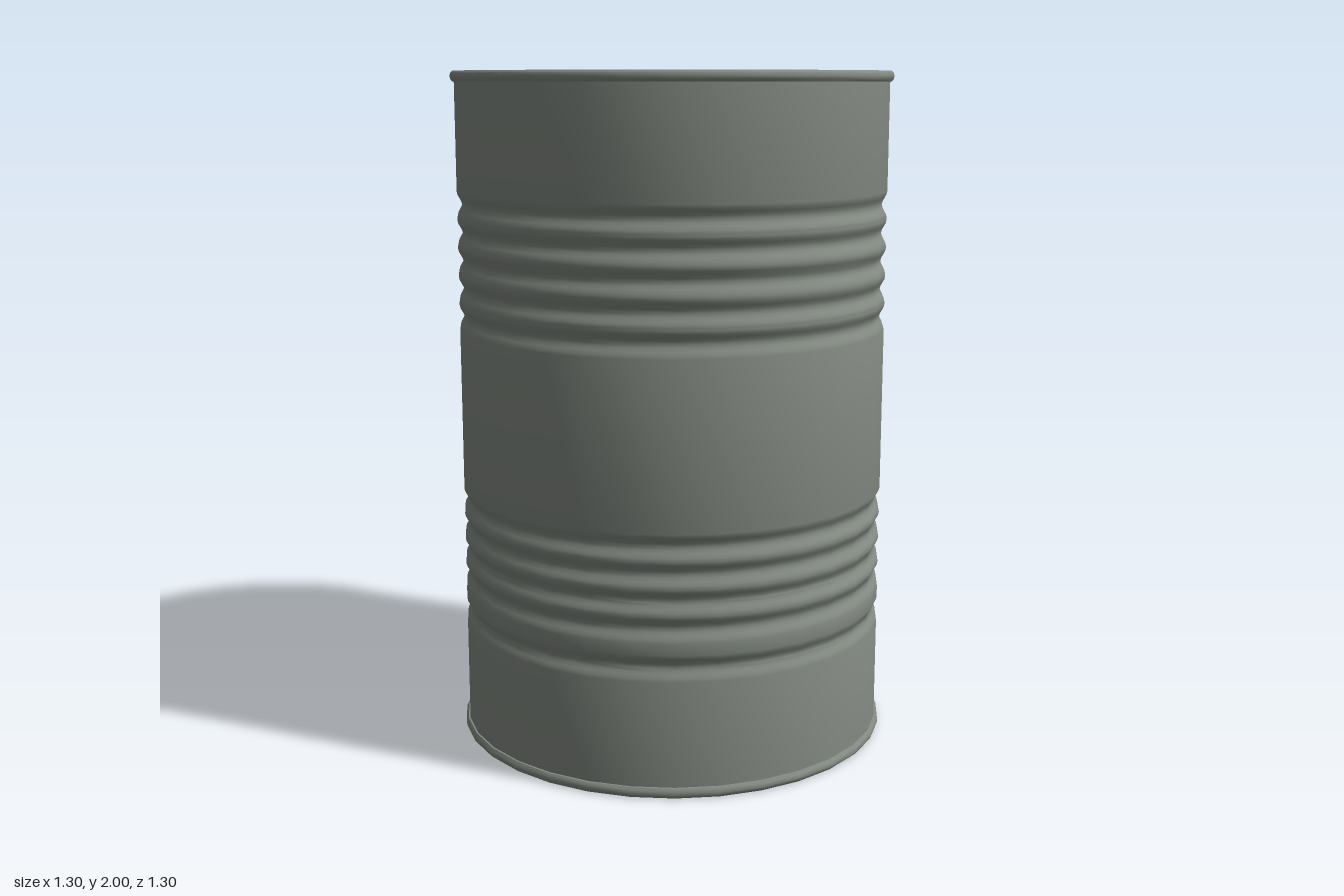
import * as THREE from 'three';
import { toCreasedNormals } from 'three/addons/utils/BufferGeometryUtils.js';

const SIDES = 32;
const BODY_R = 0.64;

export function createModel() {
  const can = new THREE.Group();
  can.name = 'tinCan';
  const metal = new THREE.MeshStandardMaterial({ color: 0x848b83 });

  // Revolves [radius, height] points, listed upward along the outside
  const lathe = (name, profile) => {
    const points = profile.map(([r, y]) => new THREE.Vector2(r, y));
    const geometry = toCreasedNormals(new THREE.LatheGeometry(points, SIDES), 0.65);
    const mesh = new THREE.Mesh(geometry, metal);
    mesh.name = name;
    can.add(mesh);
  };

  // Side wall with two bands of rounded grooves
  const grooves = [0.38, 0.492, 0.57, 0.648, 0.726, 1.285, 1.368, 1.451, 1.534, 1.617];
  const wall = [[BODY_R, 0.03]];
  for (const centre of grooves) {
    for (let i = 0; i <= 8; i++) {
      const t = i / 8;
      const depth = 0.0075 * (1 - Math.cos(t * Math.PI * 2));
      wall.push([BODY_R - depth, centre + (t - 0.5) * 0.077]);
    }
  }
  wall.push([BODY_R, 1.97]);
  lathe('body', wall);

  // Rolled rims, closed rings at both ends
  const rim = [
    [0.618, 0.025], [0.62, 0.004], [0.626, 0], [0.643, 0], [0.65, 0.006],
    [0.652, 0.015], [0.65, 0.024], [0.645, 0.03], [0.638, 0.031],
  ];
  lathe('bottomRim', rim);
  lathe('topRim', rim.map(([r, y]) => [r, 2 - y]).reverse());

  // Recessed lid with concentric raised rings around a flat centre
  const lid = [[0.62, 1.978]];
  const ringStart = 0.36, ringPitch = 0.0655, ringCount = 4, steps = 8;
  for (let i = ringCount * steps; i >= 0; i--) {
    const t = i / steps;
    const height = 0.0035 * (1 - Math.cos(t * Math.PI * 2));
    lid.push([ringStart + t * ringPitch, 1.978 + height]);
  }
  lid.push([0, 1.978]);
  lathe('lid', lid);

  // Flat recessed base
  lathe('base', [[0, 0.015], [0.62, 0.015]]);

  return can;
}
